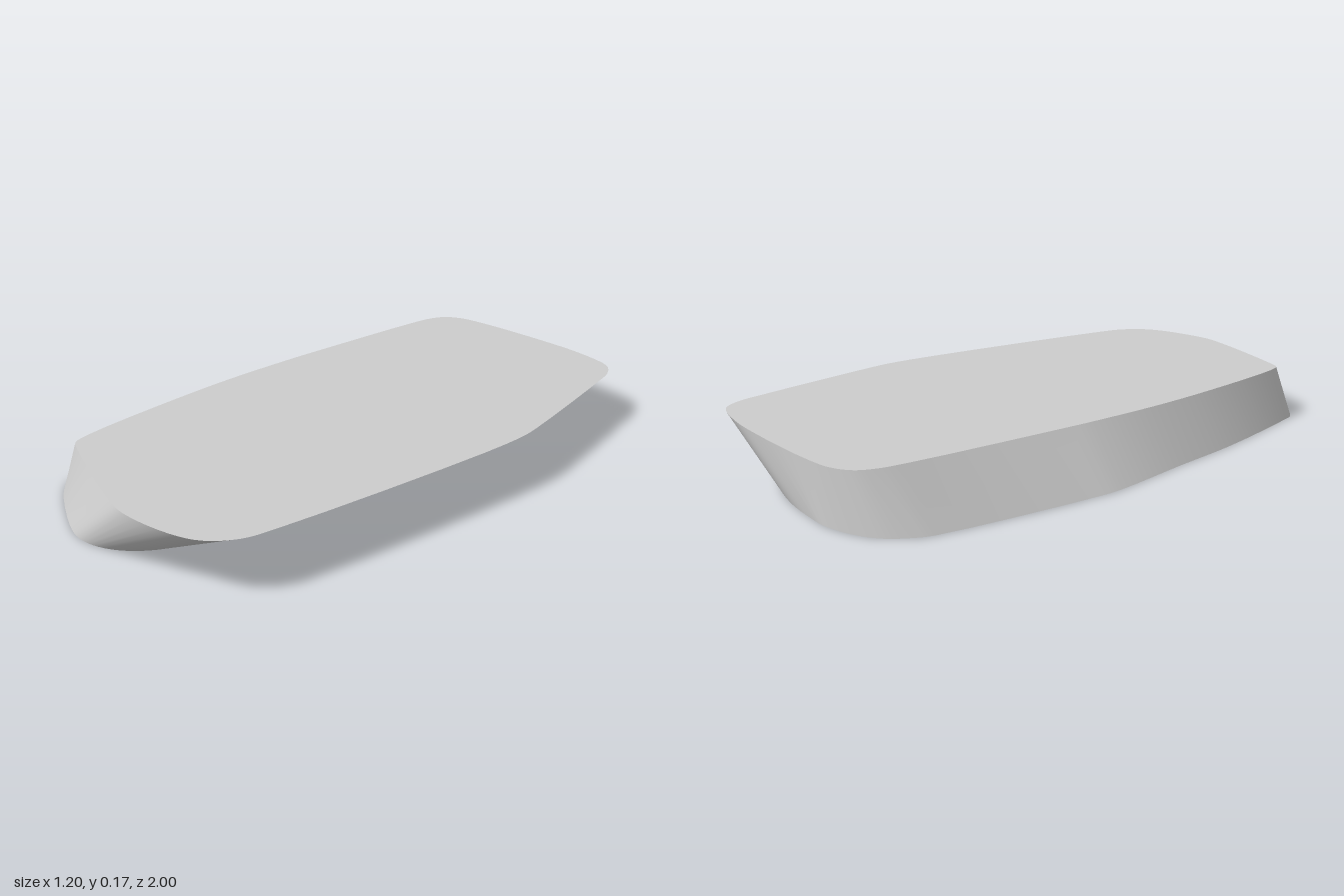
import * as THREE from 'three';
import { toCreasedNormals } from 'three/addons/utils/BufferGeometryUtils.js';

const HEIGHT = 0.168;
const STEPS = 4; // samples between control points

// Paired outline points, clockwise seen from above: [top x, top z, bottom x, bottom z]
const OUTLINE = [
  [-0.25, -1.0, -0.32, -1.0], [0.08, -1.0, -0.26, -1.0], [0.25, -0.985, -0.1, -0.985],
  [0.39, -0.945, 0.03, -0.945], [0.44, -0.88, 0.08, -0.88], [0.47, -0.78, 0.115, -0.78],
  [0.585, -0.3, 0.235, -0.3], [0.598, -0.22, 0.248, -0.22], [0.6, -0.02, 0.25, -0.02],
  [0.55, 0.74, 0.2, 0.74], [0.53, 0.85, 0.18, 0.85], [0.47, 0.93, 0.12, 0.935],
  [0.38, 0.97, 0.04, 0.985], [0.2, 0.993, -0.04, 0.998], [0.1, 0.975, -0.13, 0.975],
  [-0.26, 0.855, -0.35, 0.865], [-0.31, 0.83, -0.385, 0.83], [-0.335, 0.77, -0.405, 0.77],
  [-0.4, 0.39, -0.5, 0.39], [-0.43, 0.12, -0.545, 0.12], [-0.443, -0.16, -0.598, -0.17],
  [-0.444, -0.24, -0.603, -0.25], [-0.44, -0.8, -0.566, -0.8], [-0.43, -0.895, -0.55, -0.85],
  [-0.405, -0.95, -0.5, -0.925], [-0.35, -0.985, -0.42, -0.975],
];

// Smooth closed rim through the control points
function rim(column, y) {
  const points = OUTLINE.map((p) => new THREE.Vector3(p[column], y, p[column + 1]));
  const curve = new THREE.CatmullRomCurve3(points, true, 'centripetal');
  return curve.getPoints(points.length * STEPS).slice(0, -1);
}

function geometryFrom(triangles) {
  return new THREE.BufferGeometry().setFromPoints(triangles);
}

export function createModel() {
  const model = new THREE.Group();
  model.name = 'slantedSlab';
  const grey = new THREE.MeshStandardMaterial({ color: 0xcccccc });
  grey.name = 'light grey';

  const top = rim(0, HEIGHT);
  const bottom = rim(2, 0);
  const topCentre = new THREE.Vector3(0.08, HEIGHT, 0);
  const bottomCentre = new THREE.Vector3(-0.17, 0, 0);
  const side = [], topFace = [], bottomFace = [];
  top.forEach((t0, i) => {
    const j = (i + 1) % top.length;
    const t1 = top[j], b0 = bottom[i], b1 = bottom[j];
    side.push(t0, t1, b0, t1, b1, b0);
    topFace.push(topCentre, t1, t0);
    bottomFace.push(bottomCentre, b0, b1);
  });

  // Slanted wall and the two flat faces
  const parts = { slantedWall: side, topFace, bottomFace };
  for (const [name, triangles] of Object.entries(parts)) {
    const mesh = new THREE.Mesh(toCreasedNormals(geometryFrom(triangles), 0.5), grey);
    mesh.name = name;
    model.add(mesh);
  }
  return model;
}
